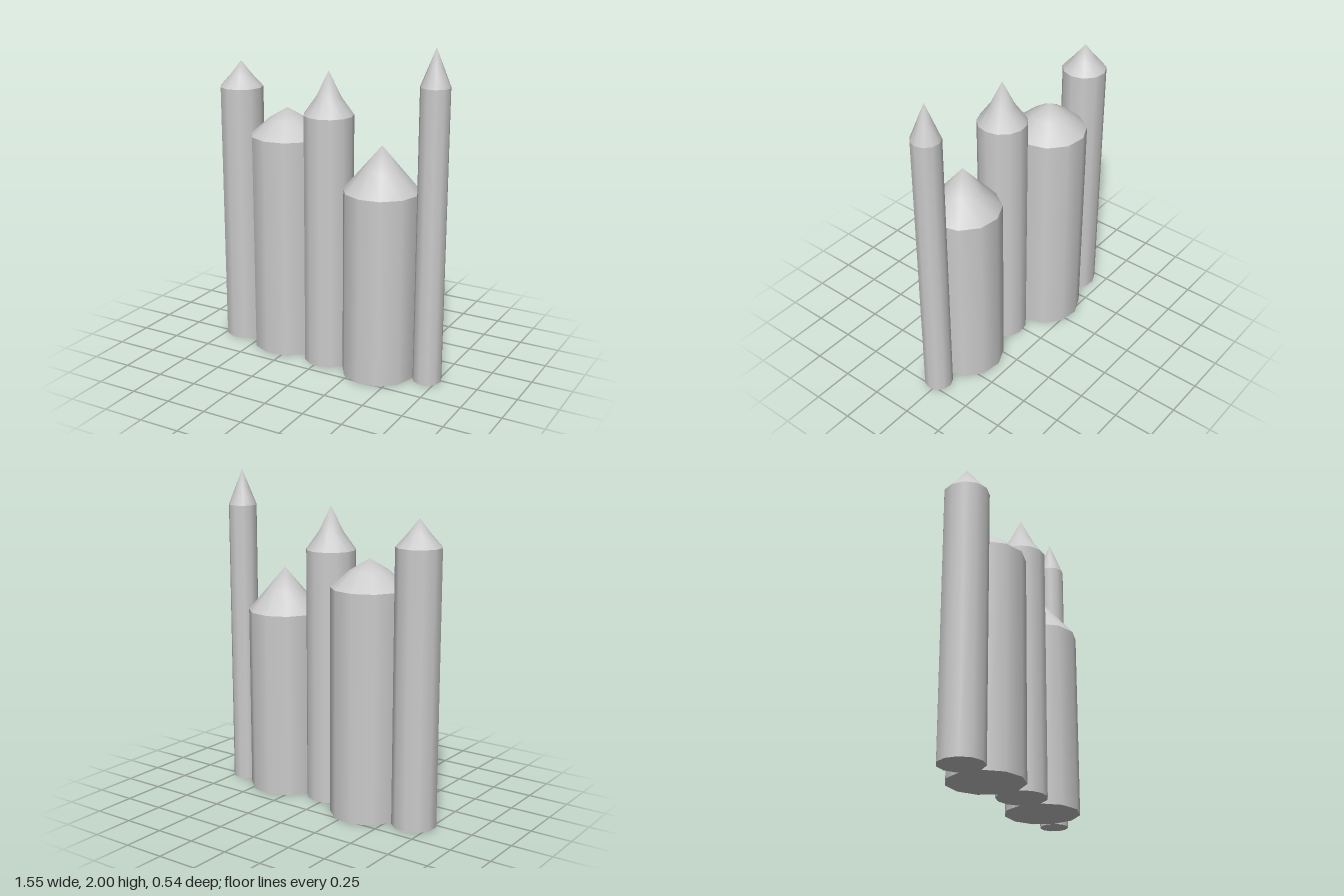
import * as THREE from 'three';

const material = new THREE.MeshStandardMaterial({ color: 0xcccccc });

// One entry per crystal column: centre, radius, sides, eave height,
// height of the ring halfway up the tip, and apex height
const COLUMNS = [
  { name: 'farRightColumn', x: -0.647, z: -0.058, r: 0.134, sides: 11, eave: 1.64, mid: 1.714, apex: 1.8 },
  { name: 'rightColumn', x: -0.313, z: -0.05, r: 0.227, sides: 11, eave: 1.375, mid: 1.476, apex: 1.545 },
  { name: 'middleColumn', x: 0.023, z: 0.04, r: 0.15, sides: 13, eave: 1.555, mid: 1.66, apex: 1.815 },
  { name: 'leftColumn', x: 0.377, z: 0.045, r: 0.227, sides: 11, eave: 1.145, mid: 1.28, apex: 1.415 },
  { name: 'farLeftColumn', x: 0.687, z: 0.02, r: 0.087, sides: 11, eave: 1.78, mid: 1.89, apex: 2 },
];

function part(name, geometry) {
  const mesh = new THREE.Mesh(geometry, material);
  mesh.name = name;
  return mesh;
}

// Pointed cap in two rings, smooth up to an upward-facing apex
function tipGeometry({ r, sides, eave, mid, apex }) {
  const profile = [[r, eave], [r / 2, mid], [0, apex]].map(([x, y]) => new THREE.Vector2(x, y));
  const geometry = new THREE.LatheGeometry(profile, sides, Math.PI / 2);
  const { position, normal } = geometry.attributes;
  for (let i = 0; i < position.count; i++) {
    if (position.getY(i) > apex - 1e-4) normal.setXYZ(i, 0, 1, 0);
  }
  return geometry;
}

function column(c) {
  const group = new THREE.Group();
  group.name = c.name;
  group.position.set(c.x, 0, c.z);

  // Straight shaft
  const shaft = new THREE.CylinderGeometry(c.r, c.r, c.eave, c.sides, 1, true, Math.PI / 2);
  group.add(part('shaft', shaft.translate(0, c.eave / 2, 0)));

  // Flat underside
  group.add(part('base', new THREE.CircleGeometry(c.r, c.sides).rotateX(Math.PI / 2)));

  // Pointed top
  group.add(part('tip', tipGeometry(c)));
  return group;
}

export function createModel() {
  const model = new THREE.Group();
  model.name = 'columnRow';
  COLUMNS.forEach((c) => model.add(column(c)));
  return model;
}
